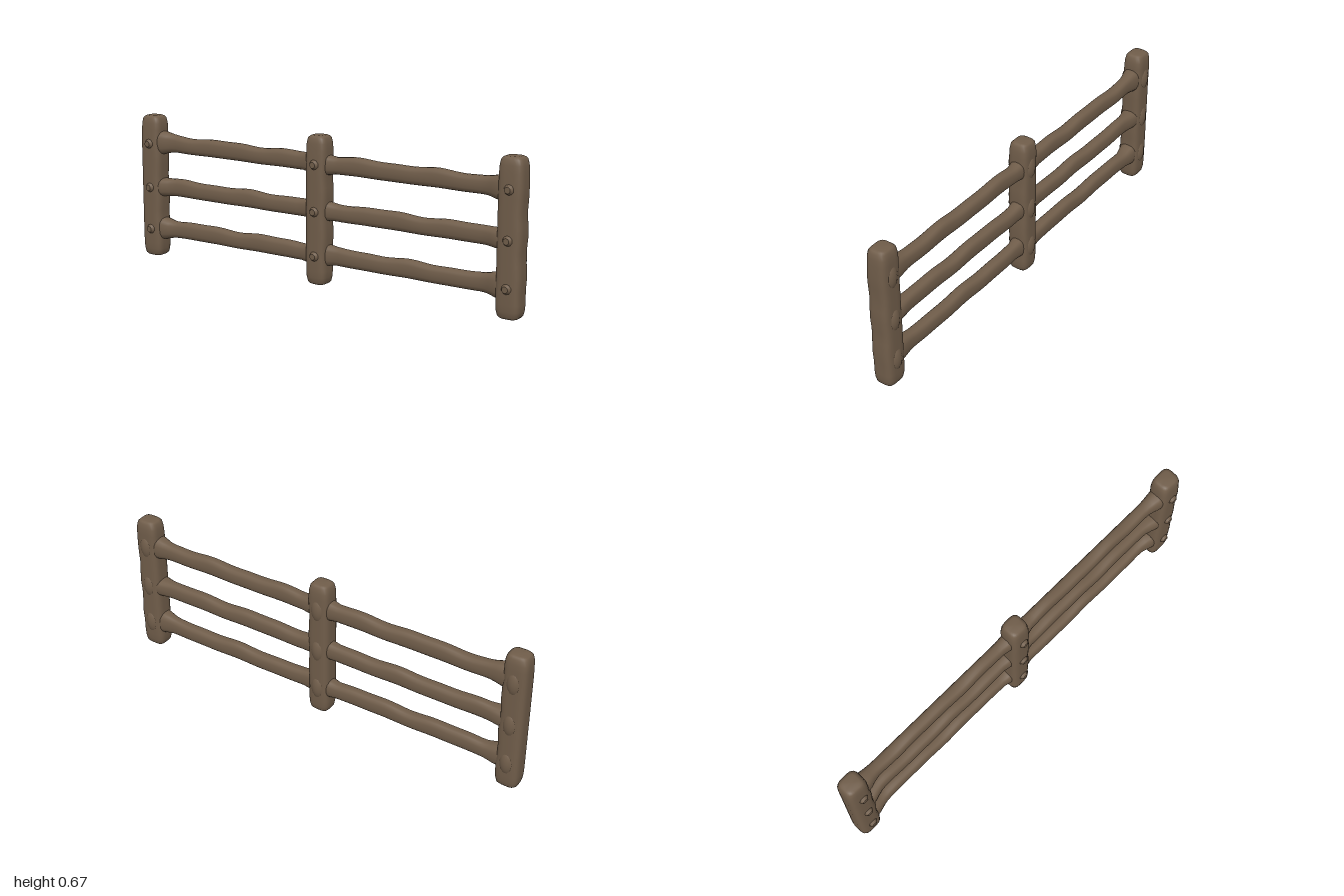
import * as THREE from 'three';

// Lofts rounded-rectangle rings along x or y; each ring is [t, centreU, centreV, halfU, halfV].
// Axis x uses (u, v) = (y, z); axis y uses (u, v) = (z, x).
function loft(rings, axis, power, sides = 24) {
  const pos = [], idx = [];
  const put = (t, u, v) => (axis === 'x' ? pos.push(t, u, v) : pos.push(v, t, u));
  const round = (c) => Math.sign(c) * Math.pow(Math.abs(c), power);
  for (const [t, cu, cv, hu, hv] of rings) {
    for (let j = 0; j < sides; j++) {
      const a = ((j + 0.5) / sides) * Math.PI * 2;
      put(t, cu + hu * round(Math.cos(a)), cv + hv * round(Math.sin(a)));
    }
  }
  for (let i = 0; i < rings.length - 1; i++) {
    for (let j = 0; j < sides; j++) {
      const k = (j + 1) % sides, a = i * sides, b = a + sides;
      idx.push(a + j, a + k, b + j, a + k, b + k, b + j);
    }
  }
  const first = rings[0], last = rings[rings.length - 1];
  const start = rings.length * sides, end = (rings.length - 1) * sides;
  put(first[0], first[1], first[2]);
  put(last[0], last[1], last[2]);
  for (let j = 0; j < sides; j++) {
    const k = (j + 1) % sides;
    idx.push(start, k, j, start + 1, end + j, end + k);
  }
  const g = new THREE.BufferGeometry();
  g.setAttribute('position', new THREE.Float32BufferAttribute(pos, 3));
  g.setIndex(idx);
  g.computeVertexNormals();
  return g;
}

export function createModel() {
  const model = new THREE.Group();
  model.name = 'fence';
  const wood = new THREE.MeshStandardMaterial({ color: 0x705d4a });
  wood.name = 'brown wood';
  const add = (name, geometry, x = 0, y = 0, z = 0) => {
    const mesh = new THREE.Mesh(geometry, wood);
    mesh.name = name;
    mesh.position.set(x, y, z);
    model.add(mesh);
    return mesh;
  };

  const railHeights = [0.132, 0.332, 0.541];
  const posts = [
    { name: 'rightPost', x: -0.943, w: 0.056, h: 0.672 },
    { name: 'middlePost', x: 0, w: 0.053, h: 0.667 },
    { name: 'leftPost', x: 0.943, w: 0.057, h: 0.673 },
  ];

  posts.forEach((p, n) => {
    // Post with softly worn ends and a slight waver in width
    const profile = [[0, 0.55], [0.004, 0.72], [0.012, 0.86], [0.035, 0.95], [0.065, 0.98]];
    const rings = profile.map(([t, s]) => [t, 0, 0, 0.05 * s, p.w * s]);
    for (let i = 1; i < 10; i++) {
      const y = 0.065 + (p.h - 0.13) * (i / 10);
      const waver = 0.0015 * Math.sin(i * 1.9 + n * 2);
      rings.push([y, 0, waver, 0.05, p.w - 0.001 + waver]);
    }
    for (const [t, s] of [...profile].reverse()) rings.push([p.h - t, -0.002, 0, 0.05 * s, p.w * s]);
    add(p.name, loft(rings, 'y', 0.55), p.x);

    // Peg on the front and a gentle swelling on the back at each rail
    railHeights.forEach((y) => {
      const peg = add('peg', new THREE.CylinderGeometry(0.014, 0.025, 0.018, 10), p.x + 0.003, y, 0.054);
      peg.rotation.x = Math.PI / 2;
      const knot = add('backSwelling', new THREE.SphereGeometry(1, 16, 12), p.x, y, -0.03);
      knot.scale.set(0.036, 0.065, 0.03);
    });
  });

  // Rails: one wavering log per bay, flaring where it meets the posts
  for (const side of [-1, 1]) {
    railHeights.forEach((y, r) => {
      const rings = [];
      const steps = 36, from = 0.01, to = 0.93;
      for (let i = 0; i <= steps; i++) {
        const d = side < 0 ? to - ((to - from) * i) / steps : from + ((to - from) * i) / steps;
        const x = side * d;
        const flare = Math.max(0, 1 - Math.max(0, 0.89 - d) / 0.075) ** 1.4
          + 0.5 * Math.max(0, 1 - Math.max(0, d - 0.05) / 0.035) ** 1.4;
        const waver = Math.sin(x * 17 + r * 2.1) * 0.0022 + Math.sin(x * 31 + r) * 0.0012;
        const tilt = (r === 0 ? -0.004 : -0.003) * side * d;
        rings.push([
          x,
          y + tilt + waver,
          -0.007 + flare * 0.006,
          0.039 + waver * 0.7 + flare * (r === 1 ? 0.006 : 0.016),
          0.029 - waver * 0.4 + flare * 0.013,
        ]);
      }
      add(side < 0 ? 'rightRail' : 'leftRail', loft(rings, 'x', 0.75, 18));
    });
  }
  return model;
}
